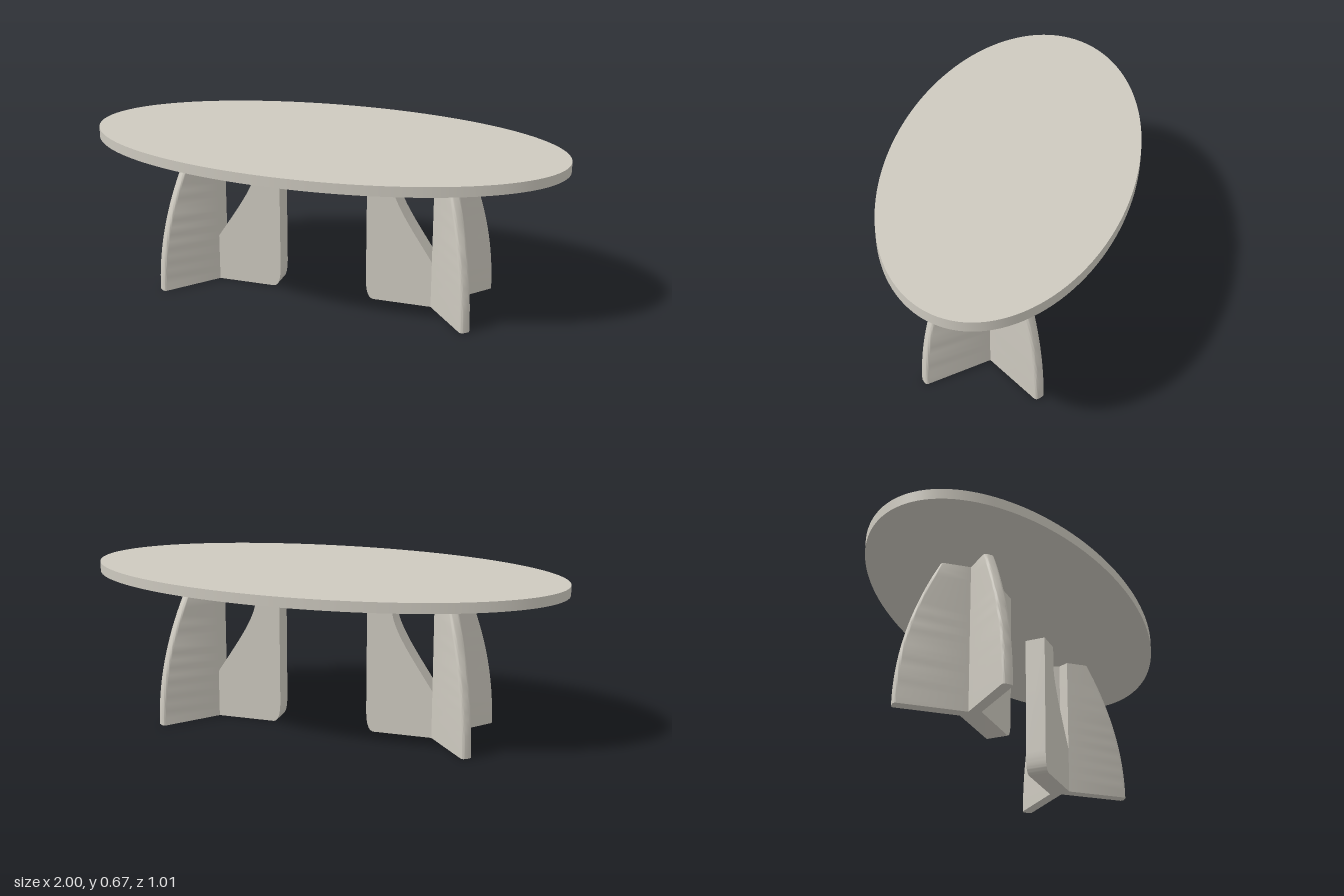
import * as THREE from 'three';
import { toCreasedNormals } from 'three/addons/utils/BufferGeometryUtils.js';

const TOP_Y = 0.667, UNDER_Y = 0.625;   // table top slab
const T = 0.045;                        // panel thickness
const BEND = THREE.MathUtils.degToRad(50);
const BEND_X = 0.47;                    // where each panel bends

// Splayed outer fin: plan section with a rounded end, narrowing towards the top
function outerFin(side) {
  const L = 0.268, r = 0.013, s = new THREE.Shape();
  const pts = [[-T * Math.tan(BEND / 2), T], [0, 0]];
  for (let i = 0; i <= 6; i++) {
    const a = (i / 6) * Math.PI / 2;
    pts.push([L - r + r * Math.sin(a), r - r * Math.cos(a)]);
  }
  for (let i = 0; i <= 6; i++) {
    const a = (i / 6) * Math.PI / 2;
    pts.push([L - r + r * Math.cos(a), T - r + r * Math.sin(a)]);
  }
  s.setFromPoints(pts.map(([x, y]) => new THREE.Vector2(x, y * side)));
  const geo = new THREE.ExtrudeGeometry(s, { depth: UNDER_Y, steps: 20, bevelEnabled: false });
  geo.rotateX(-Math.PI / 2);
  const p = geo.attributes.position;
  for (let i = 0; i < p.count; i++) {
    if (p.getX(i) > 0.1) p.setX(i, p.getX(i) - 0.43 * p.getY(i) ** 2);
  }
  geo.rotateY(-side * BEND);
  geo.translate(BEND_X, 0, side * T);
  return toCreasedNormals(geo, 0.6);
}

// Inner fin: two panels back to back, cut away by a sweeping curve
function innerFin() {
  const s = new THREE.Shape();
  s.moveTo(0.491, 0);
  s.lineTo(0.491, 0.172);
  s.lineTo(BEND_X, 0.2);
  s.bezierCurveTo(0.385, 0.33, 0.297, 0.45, 0.295, 0.53);
  s.lineTo(0.295, UNDER_Y);
  s.lineTo(0.19, UNDER_Y);
  s.lineTo(0.19, 0.09);
  s.bezierCurveTo(0.191, 0.03, 0.2, 0.003, 0.222, 0);
  const geo = new THREE.ExtrudeGeometry(s, { depth: 2 * T, curveSegments: 16, bevelEnabled: false });
  geo.translate(0, 0, -T);
  return toCreasedNormals(geo, 0.5);
}

export function createModel() {
  const model = new THREE.Group();
  model.name = 'ovalTable';
  const stone = new THREE.MeshStandardMaterial({ name: 'warmGrey', color: 0xcdc9bf });
  const add = (parent, name, geo) => {
    const m = new THREE.Mesh(geo, stone);
    m.name = name;
    parent.add(m);
    return m;
  };

  // Oval top
  const h = TOP_Y - UNDER_Y;
  const top = new THREE.CylinderGeometry(1, 1, h, 128);
  top.scale(1, 1, 0.505);
  top.translate(0, UNDER_Y + h / 2, 0);
  add(model, 'tableTop', top);

  // Two three-finned pedestals
  ['leftPedestal', 'rightPedestal'].forEach((name, i) => {
    const leg = new THREE.Group();
    leg.name = name;
    leg.rotation.y = i * Math.PI;
    add(leg, 'innerFin', innerFin());
    add(leg, 'outerFinA', outerFin(1));
    add(leg, 'outerFinB', outerFin(-1));
    model.add(leg);
  });
  return model;
}
